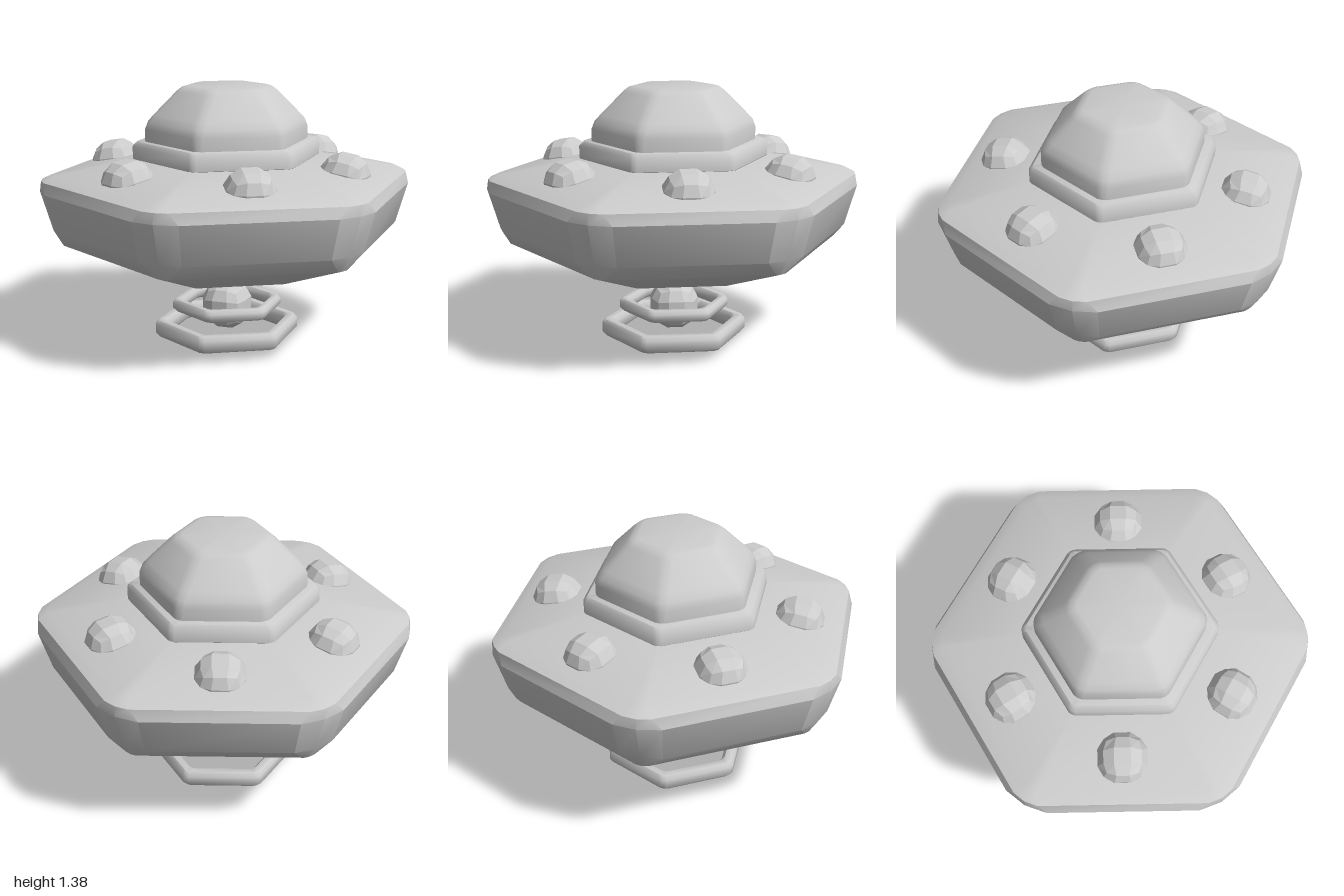
import * as THREE from 'three';
import { toCreasedNormals } from 'three/addons/utils/BufferGeometryUtils.js';

const TURN = THREE.MathUtils.degToRad(-5); // whole craft is turned slightly about y

// Hexagonal section with bevelled corners: y, corner radius, half width of the corner cut
function hexSection([y, radius, cut]) {
  const points = [];
  for (let k = 0; k < 6; k++) {
    const t = TURN + (k * Math.PI) / 3;
    const out = new THREE.Vector3(Math.sin(t), 0, Math.cos(t));
    const side = new THREE.Vector3(Math.cos(t), 0, -Math.sin(t));
    const r = radius - 0.577 * cut;
    for (const s of [-1, 0, 1]) {
      const p = out.clone().multiplyScalar(s === 0 ? r + 0.17 * cut : r);
      points.push(p.addScaledVector(side, s * cut).setY(y));
    }
  }
  return points;
}

// Skin over hexagonal sections, skipping collapsed triangles
function hexLoft(rows, crease = 0.5) {
  const sections = rows.map(hexSection);
  const n = sections[0].length;
  const positions = [];
  const area = new THREE.Triangle();
  const addTriangle = (a, b, c) => {
    if (area.set(a, b, c).getArea() < 1e-8) return;
    for (const p of [a, b, c]) positions.push(p.x, p.y, p.z);
  };
  for (let i = 0; i < sections.length - 1; i++) {
    for (let j = 0; j < n; j++) {
      const k = (j + 1) % n;
      const [lo, hi] = [sections[i], sections[i + 1]];
      addTriangle(lo[j], lo[k], hi[k]);
      addTriangle(lo[j], hi[k], hi[j]);
    }
  }
  const geometry = new THREE.BufferGeometry();
  geometry.setAttribute('position', new THREE.Float32BufferAttribute(positions, 3));
  return toCreasedNormals(geometry, crease);
}

// Open hexagonal hoop with bevelled edges
function hexHoop(y0, y1, outer, width, bevel) {
  const inner = outer - width;
  const c = 0.02;
  const rows = [
    [y0, outer - bevel, c], [y0 + bevel, outer, c],
    [y1 - bevel, outer, c], [y1, outer - bevel, c],
    [y1, inner + bevel, c], [y1 - bevel, inner, c],
    [y0 + bevel, inner, c], [y0, inner + bevel, c],
  ];
  return hexLoft([...rows, rows[0]], 0.85);
}

// Faceted ball made from a cube pushed out to a sphere
function cubeBall(radius) {
  const geometry = new THREE.BoxGeometry(1, 1, 1, 3, 3, 3).toNonIndexed();
  const pos = geometry.attributes.position;
  const v = new THREE.Vector3();
  for (let i = 0; i < pos.count; i++) {
    v.fromBufferAttribute(pos, i).setLength(radius);
    pos.setXYZ(i, v.x, v.y, v.z);
  }
  geometry.computeVertexNormals();
  return geometry;
}

export function createModel() {
  const model = new THREE.Group();
  model.name = 'flyingSaucer';
  const grey = new THREE.MeshStandardMaterial({ color: 0xcccccc });
  grey.name = 'lightGrey';

  const add = (name, geometry) => {
    const mesh = new THREE.Mesh(geometry, grey);
    mesh.name = name;
    model.add(mesh);
    return mesh;
  };

  // Main hull: flat underside, sloped belly, bevelled rim and shallow roof
  add('hull', hexLoft([
    [0.38, 0, 0], [0.38, 0.465, 0], [0.54, 0.9, 0.03], [0.62, 0.98, 0.11],
    [0.835, 1.048, 0.12], [0.89, 1.02, 0.07], [0.918, 0.95, 0.035],
    [1.0, 0.47, 0], [1.0, 0, 0],
  ]));

  // Collar under the dome
  add('domeCollar', hexLoft([
    [0.97, 0, 0], [0.97, 0.48, 0.02], [0.995, 0.515, 0.02],
    [1.06, 0.515, 0.02], [1.085, 0.49, 0.02], [1.085, 0, 0],
  ], 0.85));

  // Cabin dome with softened edges
  add('dome', hexLoft([
    [1.06, 0.45, 0.025], [1.15, 0.452, 0.03], [1.19, 0.438, 0.035],
    [1.225, 0.405, 0.035], [1.345, 0.285, 0.035], [1.367, 0.255, 0.03],
    [1.375, 0.22, 0.02], [1.375, 0, 0],
  ], 0.6));

  // Six pods on the roof, leaning outwards with its slope
  for (let k = 0; k < 6; k++) {
    const t = TURN + ((k + 0.5) * Math.PI) / 3;
    const pod = add('roofPod', cubeBall(0.14));
    pod.position.set(Math.sin(t) * 0.65, 0.915, Math.cos(t) * 0.65);
    pod.rotation.set(0.17, t, 0, 'YXZ');
  }

  // Floating engine: core with two hoops
  const core = add('engineCore', cubeBall(0.14));
  core.position.y = 0.168;
  core.rotation.y = TURN;
  add('upperHoop', hexHoop(0.14, 0.205, 0.308, 0.065, 0.018));
  add('lowerHoop', hexHoop(0, 0.09, 0.405, 0.08, 0.02));

  return model;
}
